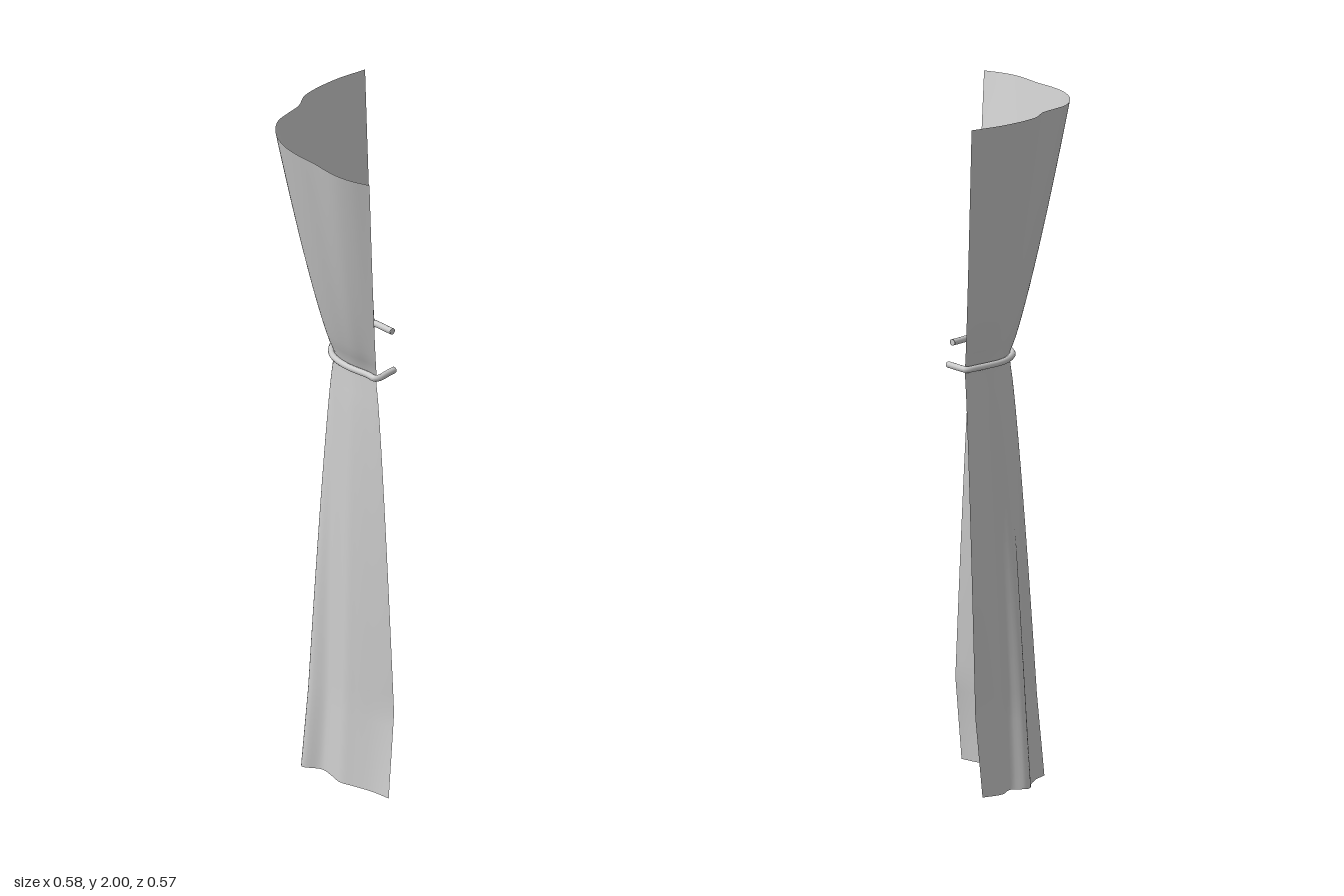
import * as THREE from 'three';

// Plan outlines [x, z], running from the front edge round to the left edge
const TOP = [[-.27, .282], [-.287, .22], [-.29, .16], [-.272, .06], [-.264, -.01], [-.245, -.08], [-.2, -.155],
  [-.135, -.208], [-.08, -.223], [-.02, -.236], [.045, -.272], [.175, -.284], [.29, -.269]];
const WAIST = [[-.06, .11], [-.056, .075], [-.056, .035], [-.055, .005], [-.047, -.04], [-.03, -.082], [-.008, -.11],
  [.02, -.132], [.05, -.148], [.08, -.158], [.12, -.161], [.165, -.161], [.212, -.158]];
const LOW = [[-.082, .2], [-.098, .135], [-.112, .08], [-.12, .035], [-.106, -.01], [-.098, -.05], [-.116, -.105],
  [-.07, -.128], [-.02, -.162], [.02, -.2], [.07, -.182], [.13, -.208], [.216, -.205]];
const HEM = [[-.12, .215], [-.12, .15], [-.13, .09], [-.139, .04], [-.123, -.01], [-.113, -.055], [-.14, -.11],
  [-.085, -.138], [-.03, -.175], [.02, -.217], [.07, -.195], [.13, -.225], [.2, -.218]];

const COLS = 72;
const TIE_Y = 1.265;
const mix = THREE.MathUtils.lerp;

function outline(points) {
  const curve = new THREE.CatmullRomCurve3(points.map(([x, z]) => new THREE.Vector3(x, 0, z)), false, 'centripetal');
  return Array.from({ length: COLS + 1 }, (_, i) => curve.getPoint(i / COLS));
}

// Cloth lofted between the outlines, pinched at the tie
function clothGeometry() {
  const bands = [
    { from: HEM, to: LOW, y0: 0, y1: .25, rows: 6, ease: t => t },
    { from: LOW, to: WAIST, y0: .25, y1: 1.24, rows: 20, ease: t => 1 - Math.pow(1 - t, .8) },
    { from: WAIST, to: WAIST, y0: 1.24, y1: 1.275, rows: 2, ease: t => t },
    { from: WAIST, to: TOP, y0: 1.275, y1: 2, rows: 20, ease: t => Math.pow(t, .82) }
  ];
  const pos = [], index = [];
  let rows = 0;
  bands.forEach((band, b) => {
    const a = outline(band.from), c = outline(band.to);
    for (let r = b ? 1 : 0; r <= band.rows; r++, rows++) {
      const t = r / band.rows, k = band.ease(t), y = mix(band.y0, band.y1, t);
      for (let i = 0; i <= COLS; i++) {
        const u = i / COLS;
        // Hem lifts slightly to one side, top dips at the front edge
        const dy = .015 * u * Math.max(0, 1 - y / .25) - .013 * (1 - u) * Math.max(0, (y - 1.4) / .6);
        pos.push(mix(a[i].x, c[i].x, k), y + dy, mix(a[i].z, c[i].z, k));
      }
    }
  });
  const w = COLS + 1;
  for (let r = 0; r < rows - 1; r++) {
    for (let i = 0; i < COLS; i++) {
      const p = r * w + i;
      index.push(p, p + w, p + 1, p + 1, p + w, p + w + 1);
    }
  }
  const geo = new THREE.BufferGeometry();
  geo.setAttribute('position', new THREE.Float32BufferAttribute(pos, 3));
  geo.setIndex(index);
  geo.computeVertexNormals();
  return geo;
}

// Cord round the outside of the waist with a hooked end at each side
function tieGeometry() {
  const pts = outline(WAIST).filter((_, i) => i % 6 === 0);
  const path = pts.map((p, i) => {
    const a = pts[Math.max(i - 1, 0)], b = pts[Math.min(i + 1, pts.length - 1)];
    const d = b.clone().sub(a).normalize();
    return new THREE.Vector3(p.x + d.z * .006, TIE_Y, p.z - d.x * .006);
  });
  const v = (x, z) => new THREE.Vector3(x, TIE_Y, z);
  const full = [v(.015, .108), v(-.02, .112), v(-.054, .116), ...path, v(.213, -.153), v(.21, -.12), v(.206, -.081)];
  return new THREE.TubeGeometry(new THREE.CatmullRomCurve3(full, false, 'centripetal'), 120, .0095, 10, false);
}

export function createModel() {
  const model = new THREE.Group();
  model.name = 'tiedCurtain';
  const material = new THREE.MeshStandardMaterial({ color: 0xcccccc, side: THREE.DoubleSide });
  const add = (name, geometry) => {
    const mesh = new THREE.Mesh(geometry, material);
    mesh.name = name;
    model.add(mesh);
  };
  add('curtainCloth', clothGeometry());
  add('tieBack', tieGeometry());

  // Flat caps closing the cord ends
  [[.015, .108, Math.PI / 2], [.206, -.081, 0]].forEach(([x, z, turn], i) => {
    const cap = new THREE.CircleGeometry(.0095, 10);
    cap.rotateY(turn);
    cap.translate(x, TIE_Y, z);
    add('tieEnd' + (i + 1), cap);
  });
  return model;
}
